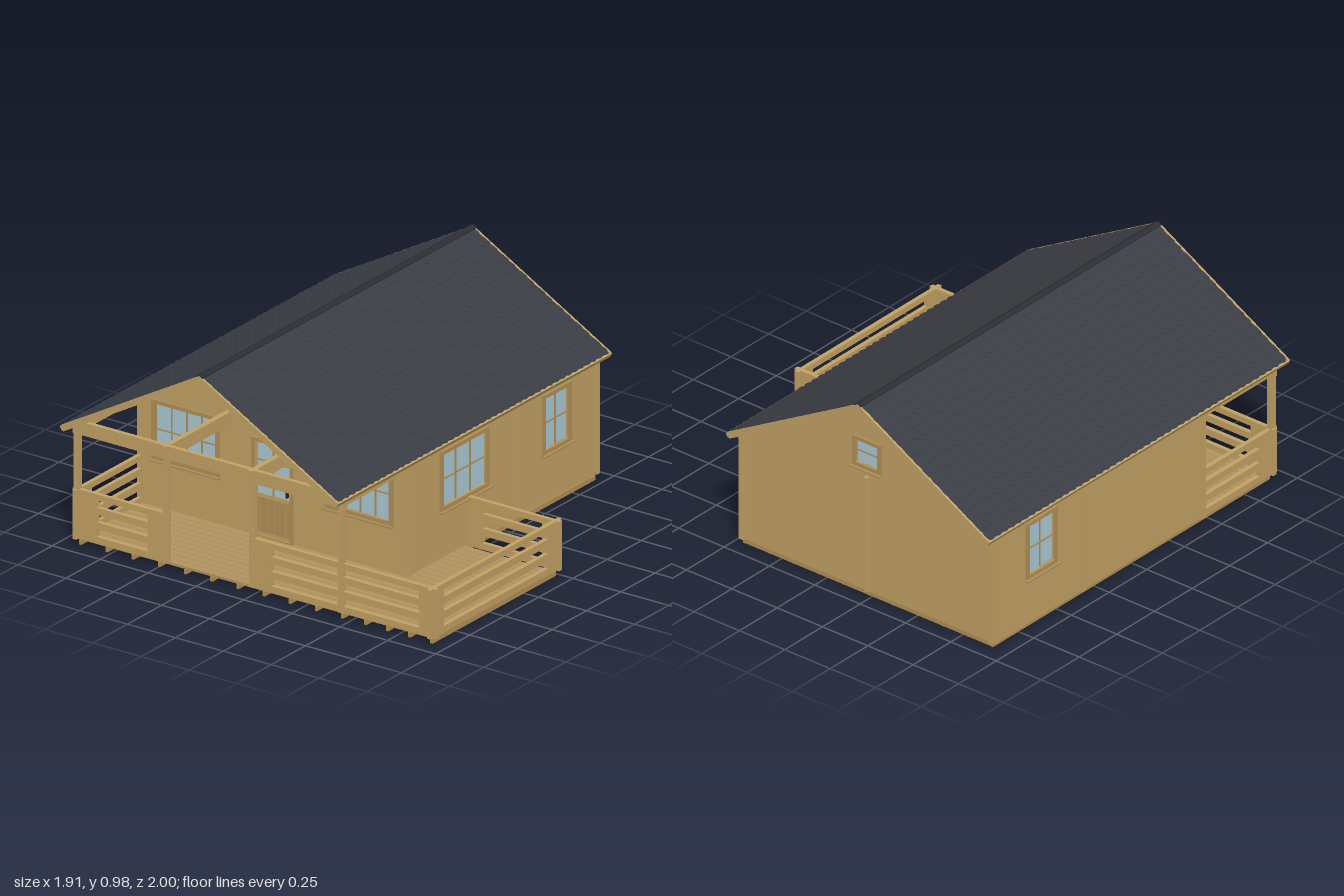
import * as THREE from 'three';

const mat = (color) => new THREE.MeshStandardMaterial({ color });
const WOOD = mat(0xc2a164), TRIM = mat(0xb08f56), DECK = mat(0xb2935e);
const ROOF = mat(0x3a3d44), RIDGE = mat(0x2b2d32), GLASS = mat(0xa8c8d4), DARK = mat(0x222222);
const CX = -0.235, TOP = 0.97, EAVE = 0.565, HALF = 0.72; // ridge line and roof spread
const SLOPE = Math.atan2(TOP - EAVE, HALF), RUN = Math.hypot(TOP - EAVE, HALF);

// Box given by its extents on each axis
function box(parent, name, [x0, x1], [y0, y1], [z0, z1], material = WOOD) {
  const m = new THREE.Mesh(new THREE.BoxGeometry(x1 - x0, y1 - y0, z1 - z0), material);
  m.position.set((x0 + x1) / 2, (y0 + y1) / 2, (z0 + z1) / 2);
  m.name = name;
  parent.add(m);
  return m;
}

// Flat panel with rectangular holes [x0, x1, y0, y1], extruded along z
function panel(parent, name, points, holes, depth, material = WOOD) {
  const shape = new THREE.Shape(points.map(([x, y]) => new THREE.Vector2(x, y)));
  for (const [a, b, c, d] of holes) {
    shape.holes.push(new THREE.Path([[a, c], [a, d], [b, d], [b, c]].map(([x, y]) => new THREE.Vector2(x, y))));
  }
  const geo = new THREE.ExtrudeGeometry(shape, { depth, bevelEnabled: false });
  const m = new THREE.Mesh(geo, material);
  m.name = name;
  parent.add(m);
  return m;
}
const rect = (a, b, c, d) => [[a, c], [b, c], [b, d], [a, d]];

// Window centred on its own origin, facing +z
function makeWindow(name, w, h, cols, rows, sill = true) {
  const g = new THREE.Group();
  g.name = name;
  const W = w / 2, H = h / 2, f = 0.018;
  panel(g, 'windowFrame', rect(-W - f, W + f, -H - f, H + f), [[-W, W, -H, H]], 0.034, TRIM).position.z = -0.024;
  box(g, 'glass', [-W, W], [-H, H], [-0.014, -0.008], GLASS);
  for (let i = 1; i < cols; i++) {
    const x = -W + (w * i) / cols;
    box(g, 'verticalGlazingBar', [x - 0.003, x + 0.003], [-H, H], [-0.016, -0.003], TRIM);
  }
  for (let i = 1; i < rows; i++) {
    const y = -H + (h * i) / rows;
    box(g, 'horizontalGlazingBar', [-W, W], [y - 0.003, y + 0.003], [-0.016, -0.003], TRIM);
  }
  if (sill) box(g, 'sill', [-W - 0.025, W + 0.025], [-H - f - 0.008, -H - f], [-0.01, 0.022], TRIM);
  return g;
}

// Slotted railing running along x; slots are [start, end] pairs
function railing(parent, name, a, b, slots) {
  const holes = slots.flatMap(([s, e]) => [0.06, 0.128, 0.195].map((y) => [s, e, y, y + 0.035]));
  return panel(parent, name, rect(a, b, 0.03, 0.257), holes, 0.02);
}

function makeDoor() {
  const g = new THREE.Group();
  g.name = 'door';
  panel(g, 'doorFrame', rect(-0.108, 0.108, 0.03, 0.485), [[-0.094, 0.094, 0.04, 0.471]], 0.034, TRIM).position.z = -0.024;
  panel(g, 'doorLeaf', rect(-0.094, 0.094, 0.04, 0.471), [[-0.084, 0.084, 0.23, 0.461]], 0.018).position.z = -0.02;
  box(g, 'glass', [-0.086, 0.086], [0.228, 0.463], [-0.014, -0.008], GLASS);
  box(g, 'glazingBar', [-0.003, 0.003], [0.23, 0.461], [-0.016, 0], TRIM);
  for (const y of [0.307, 0.384]) box(g, 'glazingBar', [-0.084, 0.084], [y - 0.003, y + 0.003], [-0.016, 0], TRIM);
  for (let i = 0; i < 9; i++) {
    const x = -0.078 + i * 0.0195;
    box(g, 'doorSlat', [x - 0.007, x + 0.007], [0.055, 0.215], [-0.004, 0.004], TRIM);
  }
  box(g, 'doorHandle', [0.075, 0.083], [0.245, 0.28], [-0.002, 0.014], DARK);
  box(g, 'doorHood', [-0.108, 0.108], [0.48, 0.488], [0, 0.016], TRIM);
  return g;
}

function buildFloor(root) {
  const g = new THREE.Group();
  g.name = 'floor';
  root.add(g);
  // Boards widen to the right where the side deck begins
  for (let i = 0; i < 44; i++) {
    const z = -0.92 + i * 0.0418;
    box(g, 'floorBoard', [-0.925, z > 0.01 ? 0.93 : 0.455], [0.022, 0.033], [z, z + 0.039], DECK);
  }
  for (let i = 0; i < 11; i++) {
    const x = -0.91 + i * 0.1365;
    box(g, 'joist', [x - 0.006, x + 0.006], [0, 0.022], [-0.92, 0.92], TRIM);
  }
  for (const x of [0.575, 0.69, 0.805, 0.92]) box(g, 'deckJoist', [x - 0.006, x + 0.006], [0, 0.022], [0.02, 0.92], TRIM);
  for (const z of [-0.915, 0.45]) box(g, 'crossBeam', [-0.91, 0.455], [0.002, 0.022], [z - 0.006, z + 0.006], TRIM);
}

function buildWalls(root) {
  const g = new THREE.Group();
  g.name = 'walls';
  root.add(g);
  const gable = [[-0.945, 0.03], [0.475, 0.03], [0.475, 0.548], [CX, 0.946], [-0.945, 0.548]];
  const front = [[-0.845, -0.53, 0.27, 0.51], [0.06, 0.375, 0.27, 0.51], [-0.34, -0.13, 0.035, 0.48]];
  panel(g, 'frontWall', gable, front, 0.022).position.z = 0.438;
  panel(g, 'backWall', gable, [[-0.295, -0.175, 0.645, 0.755]], 0.022).position.z = -0.932;
  // Side walls run along z, their ends crossing the front and back walls
  const side = rect(-0.945, 0.47, 0.03, 0.55), small = [-0.71, -0.54, 0.27, 0.51];
  const sides = [[0.465, [small, [-0.11, 0.205, 0.27, 0.51]], 'rightWall'], [-0.913, [small], 'leftWall']];
  for (const [x, holes, name] of sides) {
    const w = panel(g, name, side, holes, 0.022);
    w.rotation.y = -Math.PI / 2;
    w.position.x = x;
  }
  // Partitions whose ends show outside
  box(g, 'crossPartition', [-0.945, 0.475], [0.03, 0.55], [-0.362, -0.342]);
  box(g, 'longPartition', [CX - 0.01, CX + 0.01], [0.03, 0.59], [-0.945, -0.35]);

  const place = (w, x, y, z, turn) => {
    w.position.set(x, y, z);
    w.rotation.y = turn;
    g.add(w);
  };
  place(makeWindow('frontWindow', 0.315, 0.24, 4, 2), -0.6875, 0.39, 0.46, 0);
  place(makeWindow('frontWindow', 0.315, 0.24, 4, 2), 0.2175, 0.39, 0.46, 0);
  place(makeWindow('sideWindow', 0.315, 0.24, 3, 2), 0.465, 0.39, 0.0475, Math.PI / 2);
  place(makeWindow('sideWindow', 0.17, 0.24, 2, 2), 0.465, 0.39, -0.625, Math.PI / 2);
  place(makeWindow('sideWindow', 0.17, 0.24, 2, 2), -0.935, 0.39, -0.625, -Math.PI / 2);
  place(makeWindow('gableWindow', 0.12, 0.11, 1, 2), CX, 0.7, -0.932, Math.PI);
  place(makeDoor(), CX, 0, 0.46, 0);
}

function buildPorch(root) {
  const g = new THREE.Group();
  g.name = 'porch';
  root.add(g);
  box(g, 'frontBeam', [-0.945, 0.475], [0.512, 0.572], [0.908, 0.93]);
  for (const x of [-0.46, -0.01]) {
    box(g, 'porchPost', [x - 0.012, x + 0.012], [0.03, 0.512], [0.905, 0.932]);
    box(g, 'tieBeam', [x - 0.012, x + 0.012], [0.512, 0.572], [0.45, 0.94]);
  }
  for (const x of [-0.924, 0.454]) {
    box(g, 'cornerPost', [x - 0.011, x + 0.011], [0.03, 0.52], [0.904, 0.935]);
    box(g, 'wallPlate', [x - 0.011, x + 0.011], [0.518, 0.552], [0.44, 0.94]);
  }
  // Railings along x
  railing(g, 'frontLeftRailing', -0.945, -0.455, [[-0.82, -0.555]]).position.z = 0.907;
  railing(g, 'frontRightRailing', -0.015, 0.95, [[0.09, 0.435], [0.465, 0.86]]).position.z = 0.907;
  railing(g, 'rearDeckRailing', 0.455, 0.95, [[0.55, 0.86]]).position.z = 0.01;
  // Railings along z
  for (const [x, a, b, slot] of [[-0.914, 0.455, 0.945, [0.47, 0.83]], [0.935, -0.01, 0.945, [0.09, 0.85]]]) {
    const r = railing(g, 'sideRailing', a, b, [slot]);
    r.rotation.y = -Math.PI / 2;
    r.position.x = x;
  }
}

// One shingle course along x: straight top edge, tapered tabs below
function shingleCourse(height, offset) {
  const pts = [[0.99, height], [-0.99, height]], tabs = 44, p = 1.98 / tabs;
  for (let i = 0; i < tabs; i++) {
    const x = -0.99 + i * p;
    const profile = offset ? [[0, 0], [0.2, 0], [0.4, 0.014], [0.6, 0.014], [0.8, 0]]
      : [[0, 0.014], [0.1, 0.014], [0.3, 0], [0.7, 0], [0.9, 0.014]];
    for (const [u, v] of profile) pts.push([x + u * p, v]);
  }
  pts.push([0.99, offset ? 0 : 0.014]);
  const shape = new THREE.Shape(pts.map(([x, y]) => new THREE.Vector2(x, y)));
  return new THREE.ExtrudeGeometry(shape, { depth: 0.002, bevelEnabled: false });
}

function buildRoof(root) {
  const g = new THREE.Group();
  g.name = 'roof';
  root.add(g);
  const rows = 15, step = RUN / rows;
  const courses = [shingleCourse(step + 0.016, false), shingleCourse(step + 0.016, true)];
  for (const s of [1, -1]) {
    // Slope frame: x runs along the ridge, y up the slope, z outward
    const slope = new THREE.Group();
    slope.name = s > 0 ? 'rightSlope' : 'leftSlope';
    const along = new THREE.Vector3(0, 0, -s);
    const up = new THREE.Vector3(-s * Math.cos(SLOPE), Math.sin(SLOPE), 0);
    slope.setRotationFromMatrix(new THREE.Matrix4().makeBasis(along, up, along.clone().cross(up)));
    slope.position.set(CX + s * HALF, EAVE, 0);
    g.add(slope);
    box(slope, 'roofBoards', [-0.99, 0.99], [0, RUN], [-0.016, -0.004], TRIM);
    box(slope, 'roofFelt', [-0.99, 0.99], [0, RUN], [-0.004, 0], ROOF);
    for (const e of [-0.994, 0.994]) box(slope, 'bargeBoard', [e - 0.006, e + 0.006], [0, RUN], [-0.026, 0.003]);
    box(slope, 'eaveBoard', [-1, 1], [-0.006, 0.004], [-0.02, 0.001]);
    for (let i = 0; i < rows; i++) {
      const m = new THREE.Mesh(courses[i % 2], ROOF);
      m.name = 'shingleCourse';
      m.position.set(0, i * step, 0.003);
      m.rotation.x = -0.05 * -1 * -1; // each course tucks under the one above
      if (i === rows - 1) m.scale.y = step / (step + 0.016);
      slope.add(m);
    }
    box(slope, 'ridgeCap', [-0.998, 0.998], [RUN - 0.018, RUN + 0.003], [0.002, 0.008], RIDGE);
  }
}

export function createModel() {
  const root = new THREE.Group();
  root.name = 'cabin';
  buildFloor(root);
  buildWalls(root);
  buildPorch(root);
  buildRoof(root);
  return root;
}
